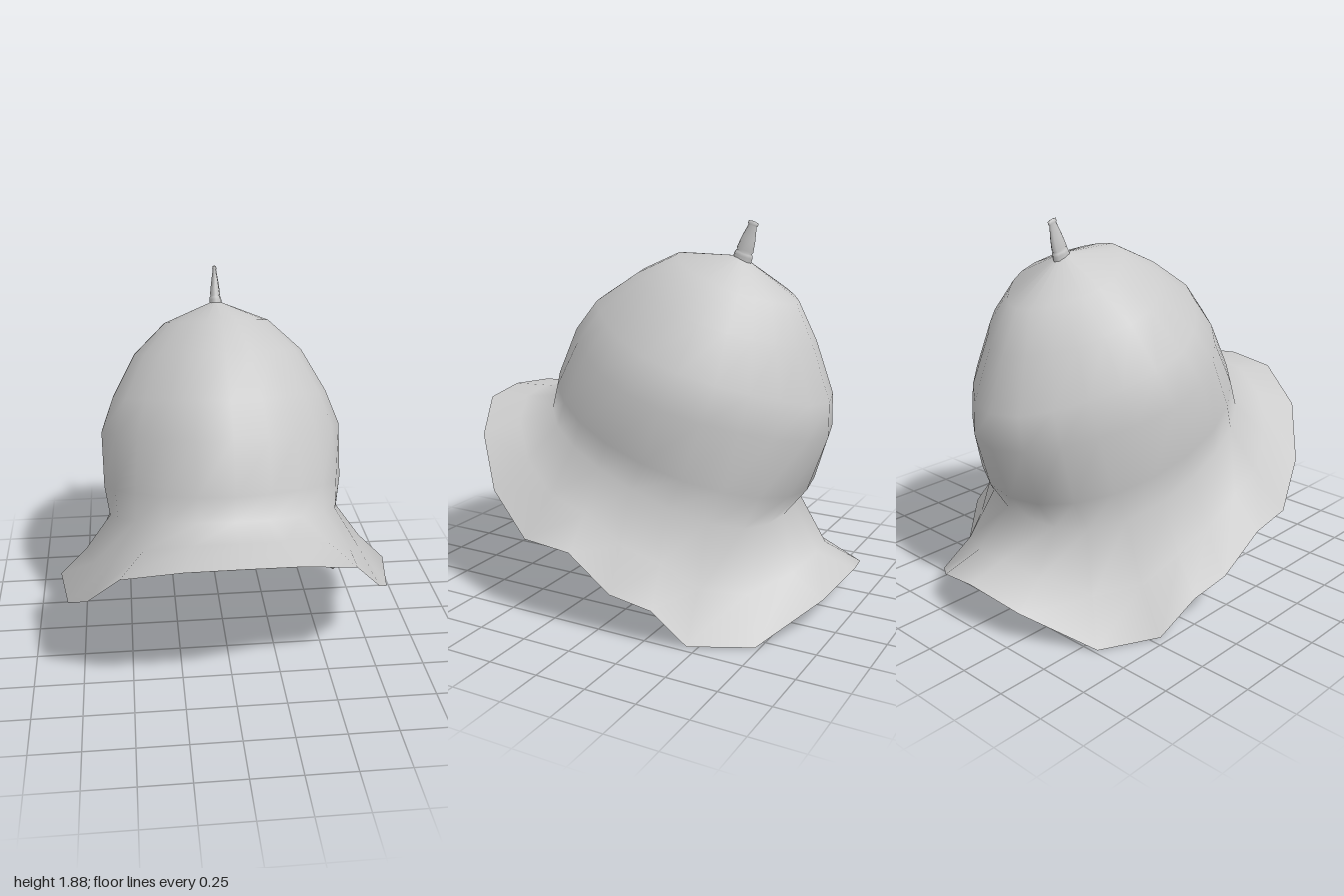
import * as THREE from 'three';

const STEPS = 11; // points from front to back on one side
const material = new THREE.MeshStandardMaterial({ color: 0xcccccc, side: THREE.DoubleSide });

// Skin a stack of closed rings (arrays of Vector3) listed from bottom to top.
function loft(rings) {
  const n = rings[0].length;
  const index = [];
  for (let r = 0; r < rings.length - 1; r++) {
    for (let i = 0; i < n; i++) {
      const j = (i + 1) % n;
      const a = r * n + i, b = r * n + j, c = a + n, d = b + n;
      index.push(a, b, d, a, d, c);
    }
  }
  const geometry = new THREE.BufferGeometry().setFromPoints(rings.flat());
  geometry.setIndex(index);
  geometry.computeVertexNormals();
  return geometry;
}

// Mirror a front-to-back half ring into a closed ring.
function mirrorRing(half) {
  const other = half.slice(1, -1).reverse().map((p) => new THREE.Vector3(-p.x, p.y, p.z));
  return [...half, ...other];
}

// Tilted oval through a front point and a back point of the profile,
// with its front and back diagonals pushed out or drawn in.
function ovalRing([frontZ, frontY, backZ, backY, width, frontBulge, backBulge]) {
  const half = [];
  for (let i = 0; i <= STEPS; i++) {
    const t = (i / STEPS) * Math.PI;
    const bulge = i < STEPS / 2 ? frontBulge : backBulge;
    const radius = 1 + bulge * Math.sin(2 * t) ** 2;
    const k = (1 + radius * Math.cos(t)) / 2;
    half.push(new THREE.Vector3(
      width * radius * Math.sin(t),
      THREE.MathUtils.lerp(backY, frontY, k),
      THREE.MathUtils.lerp(backZ, frontZ, k)));
  }
  return mirrorRing(half);
}

function createShell() {
  // Uneven brim edge, front to back
  const rim = mirrorRing([
    [0, 0.94, 1], [0.26, 0.92, 0.97], [0.54, 0.8, 0.81], [0.7, 0.575, 0.63],
    [0.81, 0.405, 0.37], [0.855, 0.405, 0.09], [0.81, 0.22, -0.1], [0.795, 0.18, -0.31],
    [0.71, 0, -0.45], [0.57, 0, -0.73], [0.27, 0.16, -0.94], [0, 0.23, -1],
  ].map((p) => new THREE.Vector3(...p)));

  // Backward-tilted dome sections:
  // front z, front y, back z, back y, half width, front bulge, back bulge
  const dome = [
    [0.62, 0.96, -0.62, 0.44, 0.59, 0.02, 0.08],
    [0.62, 1.09, -0.74, 0.59, 0.615, -0.03, 0],
    [0.52, 1.33, -0.84, 0.87, 0.62, -0.08, -0.08],
    [0.4, 1.48, -0.84, 1.04, 0.555, -0.08, -0.08],
    [0.17, 1.625, -0.75, 1.3, 0.435, -0.08, -0.08],
    [-0.03, 1.715, -0.66, 1.5, 0.27, -0.08, -0.08],
    [-0.37, 1.714, -0.37, 1.714, 0, 0, 0],
  ].map(ovalRing);

  // Flared middle of the brim, sagging towards the back
  const flare = rim.map((p, i) => {
    const q = p.clone().lerp(dome[0][i], 0.52);
    q.y -= 0.03 * (1 - p.z);
    return q;
  });
  return loft([rim, flare, ...dome]);
}

// Flattened spike on a small collar: height, half width, half depth
function createSpike() {
  const sections = [
    [-0.02, 0.031, 0.05], [0.015, 0.031, 0.05], [0.028, 0.029, 0.046],
    [0.034, 0.023, 0.04], [0.045, 0.026, 0.045], [0.1, 0.019, 0.037],
    [0.165, 0.009, 0.022], [0.17, 0.011, 0.027], [0.183, 0.009, 0.027], [0.188, 0, 0],
  ];
  const rings = sections.map(([y, w, d]) => Array.from({ length: 8 }, (_, i) => {
    const t = (i / 8) * Math.PI * 2;
    return new THREE.Vector3(w * Math.sin(t), y, d * Math.cos(t));
  }));
  const spike = new THREE.Mesh(loft(rings), material);
  spike.name = 'spike';
  spike.position.set(0, 1.7, -0.374);
  spike.rotation.x = -0.31;
  return spike;
}

export function createModel() {
  const group = new THREE.Group();
  group.name = 'helmet';
  const shell = new THREE.Mesh(createShell(), material);
  shell.name = 'domeAndBrim';
  group.add(shell, createSpike());
  return group;
}
